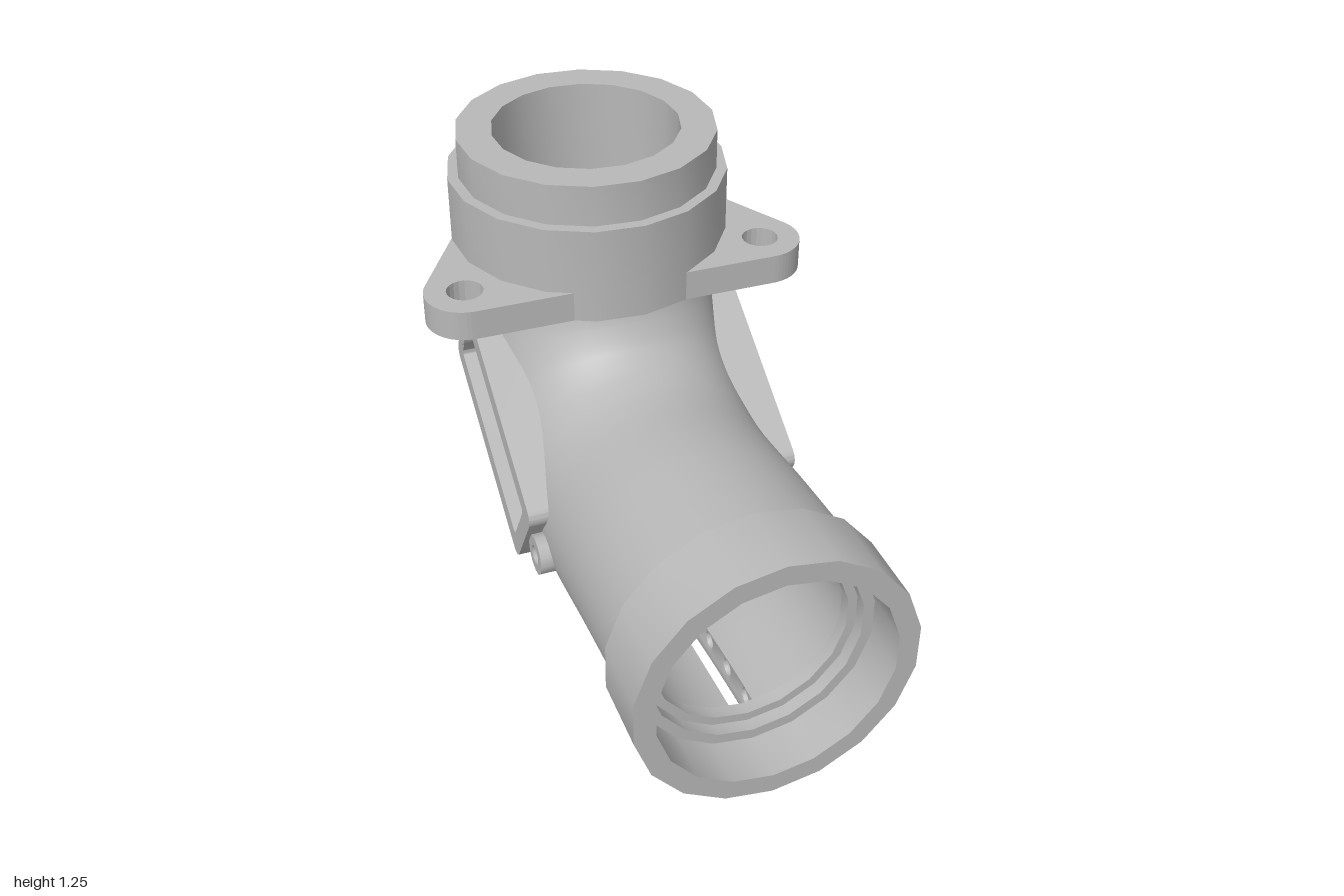
import * as THREE from 'three';
import { toCreasedNormals } from 'three/addons/utils/BufferGeometryUtils.js';

const V2 = (x, y) => new THREE.Vector2(x, y);
const BORE = 0.262, PIPE = 0.34, SLOT = 0.035, RIB = 0.25;

// Side window, in the (along, across) plane shared by both sides
const TILT = THREE.MathUtils.degToRad(32);
const ALONG = new THREE.Vector3(0, Math.sin(TILT), -Math.cos(TILT));
const ACROSS = new THREE.Vector3(0, Math.cos(TILT), Math.sin(TILT));
const WINDOW = new THREE.Vector3(0, 0.495, 0.28);

// Centre line of the elbow, from the front mouth up to the flange
const axis = new THREE.CatmullRomCurve3([
  [1.19, 0.436], [0.9, 0.41], [0.6, 0.376], [0.45, 0.386], [0.3, 0.434],
  [0.16, 0.53], [0.06, 0.67], [0.008, 0.82], [0, 0.92],
].map(([z, y]) => new THREE.Vector3(0, y, z)));

// Point and outward (heel side) normal of the centre line
function frameAt(u) {
  const p = axis.getPointAt(u), t = axis.getTangentAt(u);
  return { p, n: new THREE.Vector3(0, t.z, -t.y) };
}

function ring(profile, sides) {
  const pts = profile.map(([r, y]) => V2(r, y));
  return toCreasedNormals(new THREE.LatheGeometry([...pts, pts[0].clone()], sides), 0.6);
}

function circle(x, y, r) {
  return new THREE.Path().absarc(x, y, r, 0, Math.PI * 2, false);
}

function roundedRect(target, x0, x1, y0, y1, r) {
  const q = Math.PI / 2;
  target.absarc(x1 - r, y0 + r, r, -q, 0, false);
  target.absarc(x1 - r, y1 - r, r, 0, q, false);
  target.absarc(x0 + r, y1 - r, r, q, 2 * q, false);
  target.absarc(x0 + r, y0 + r, r, 2 * q, 3 * q, false);
  target.closePath();
  return target;
}

// One skin of the elbow, open along the heel (half width gap) and at the windows
function pipeSkin(radius, gap, inside) {
  const rows = 100, cols = 80, pos = [], nor = [], index = [];
  const a0 = Math.asin(gap / radius), sign = inside ? -1 : 1;
  for (let i = 0; i <= rows; i++) {
    const { p, n } = frameAt(i / rows);
    for (let j = 0; j <= cols; j++) {
      const a = a0 + (2 * Math.PI - 2 * a0) * j / cols;
      const d = n.clone().multiplyScalar(Math.cos(a));
      d.x = Math.sin(a);
      pos.push(...p.clone().addScaledVector(d, radius).toArray());
      nor.push(...d.multiplyScalar(sign).toArray());
    }
  }
  const inWindow = (k) => {
    const q = new THREE.Vector3(...pos.slice(k * 3, k * 3 + 3));
    if (Math.abs(q.x) < 0.1) return false;
    q.sub(WINDOW);
    return Math.abs(q.dot(ALONG) - 0.015) < 0.305 && Math.abs(q.dot(ACROSS) - 0.006) < 0.112;
  };
  for (let i = 0; i < rows; i++) {
    for (let j = 0; j < cols; j++) {
      const a = i * (cols + 1) + j, b = a + cols + 1;
      if (inWindow(a)) continue;
      if (inside) index.push(a, a + 1, b, b, a + 1, b + 1);
      else index.push(a, b, a + 1, b, b + 1, a + 1);
    }
  }
  const g = new THREE.BufferGeometry();
  g.setAttribute('position', new THREE.Float32BufferAttribute(pos, 3));
  g.setAttribute('normal', new THREE.Float32BufferAttribute(nor, 3));
  g.setIndex(index);
  return g;
}

// Heel rib: a drilled curved plate whose inner edge follows the round wall
function ribGeometry(side) {
  const steps = 48, bevel = 0.014;
  const offset = (d) => Array.from({ length: steps + 1 }, (_, i) => {
    const { p, n } = frameAt(i / steps);
    return p.addScaledVector(n, d);
  });
  const flat = (p) => V2(-p.z, p.y);
  const shape = new THREE.Shape([...offset(0.372), ...offset(0.22).reverse()].map(flat));
  const drillLine = new THREE.CatmullRomCurve3(offset(0.305));
  const length = drillLine.getLength();
  for (let i = 0; i < 15; i++) {
    const p = flat(drillLine.getPointAt((0.1 + i * (length - 0.25) / 14) / length));
    shape.holes.push(circle(p.x, p.y, 0.02));
  }
  const g = new THREE.ExtrudeGeometry(shape, {
    depth: RIB - SLOT - 2 * bevel, steps: 5, curveSegments: 6, bevelSegments: 2,
    bevelThickness: bevel, bevelSize: bevel, bevelOffset: -bevel,
  });
  g.rotateY(Math.PI / 2);
  g.translate(side > 0 ? SLOT + bevel : -RIB + bevel, 0, 0);
  const line = axis.getSpacedPoints(300), P = g.attributes.position;
  const v = new THREE.Vector3();
  for (let k = 0; k < P.count; k++) {
    v.fromBufferAttribute(P, k);
    const x = v.x;
    v.x = 0;
    let near = line[0], d = Infinity;
    for (const q of line) {
      const e = q.distanceTo(v);
      if (e < d) { d = e; near = q; }
    }
    if (d < 0.255) {
      d = Math.sqrt(0.275 ** 2 - x * x);
      v.sub(near).setLength(d).add(near);
    }
    // The outer flank leans in towards the heel
    const lean = 0.2 * Math.max(0, d - 0.12) * (Math.abs(x) - SLOT) / (RIB - SLOT);
    P.setXYZ(k, x - side * lean, v.y, v.z);
  }
  return toCreasedNormals(g, 0.6);
}

// Three-eared flange: the outline wrapped round three lug circles
function flangeGeometry() {
  const lugs = [V2(0.07, 0.89), V2(-0.42, 0.2), V2(0.42, 0.12)];
  const normal = (a, b) => Math.atan2(b.y - a.y, b.x - a.x) - Math.PI / 2;
  const shape = new THREE.Shape();
  lugs.forEach((p, i) => {
    const prev = lugs[(i + 2) % 3], next = lugs[(i + 1) % 3];
    shape.absarc(p.x, p.y, 0.11, normal(prev, p), normal(p, next), false);
  });
  shape.closePath();
  shape.holes.push(circle(0.02, 0.4, 0.3), ...lugs.map((p) => circle(p.x, p.y, 0.05)));
  const g = new THREE.ExtrudeGeometry(shape, { depth: 0.085, bevelEnabled: false, curveSegments: 10 });
  return g.rotateX(-Math.PI / 2).translate(0, 0.863, 0);
}

export function createModel() {
  const model = new THREE.Group();
  model.name = 'pipeElbow';
  const grey = new THREE.MeshStandardMaterial({ color: 0xb8b8b8 });
  grey.name = 'castGrey';
  const add = (parent, name, geometry) => {
    const m = new THREE.Mesh(geometry, grey);
    m.name = name;
    parent.add(m);
    return m;
  };

  add(model, 'flange', flangeGeometry());
  add(model, 'topCollar', ring([
    [0.26, 0.863], [0.388, 0.863], [0.388, 1.135], [0.358, 1.135], [0.358, 1.25], [0.26, 1.25],
  ], 18)).position.set(0.02, 0, -0.4);

  // The elbow is turned slightly relative to the flange
  const elbow = new THREE.Group();
  elbow.name = 'elbow';
  elbow.position.set(0.02, 0, -0.4);
  elbow.rotation.y = -0.08;
  model.add(elbow);

  add(elbow, 'pipeOuterWall', pipeSkin(PIPE, 0.22, false));
  add(elbow, 'pipeBore', pipeSkin(BORE, SLOT, true));

  const mouth = add(elbow, 'frontCollar', ring([
    [0.26, 0], [0.345, -0.01], [0.372, 0.004], [0.372, 0.2], [0.315, 0.2],
    [0.315, 0.07], [0.285, 0.07], [0.285, 0.035], [0.26, 0.035],
  ], 18));
  mouth.position.set(0, 0.435, 1.18);
  mouth.rotation.x = Math.PI / 2;

  // Window frame and its two screw lugs
  const frame = roundedRect(new THREE.Shape(), -0.325, 0.34, -0.143, 0.155, 0.035);
  frame.holes.push(roundedRect(new THREE.Path(), -0.272, 0.298, -0.085, 0.098, 0.015));
  const plane = new THREE.Matrix4().makeBasis(ALONG, ACROSS, new THREE.Vector3(1, 0, 0)).setPosition(WINDOW);
  const plate = (shape, side, inner, outer) => {
    const g = new THREE.ExtrudeGeometry(shape, { depth: outer - inner, bevelEnabled: false, curveSegments: 6 });
    return toCreasedNormals(g.applyMatrix4(plane).translate(side > 0 ? inner : -outer, 0, 0), 0.6);
  };

  for (const side of [1, -1]) {
    const label = side > 0 ? 'left' : 'right';
    add(elbow, label + 'HeelRib', ribGeometry(side));
    add(elbow, label + 'WindowFrame', plate(frame, side, 0.245, 0.385));
    for (const [a, b] of [[-0.375, 0.026], [0.343, 0.006]]) {
      const lug = new THREE.Shape().absarc(a, b, 0.057, 0, Math.PI * 2, false);
      lug.holes.push(circle(a, b, 0.028));
      add(elbow, label + 'ScrewLug', plate(lug, side, 0.27, a < 0 ? 0.37 : 0.392));
    }
  }
  return model;
}
